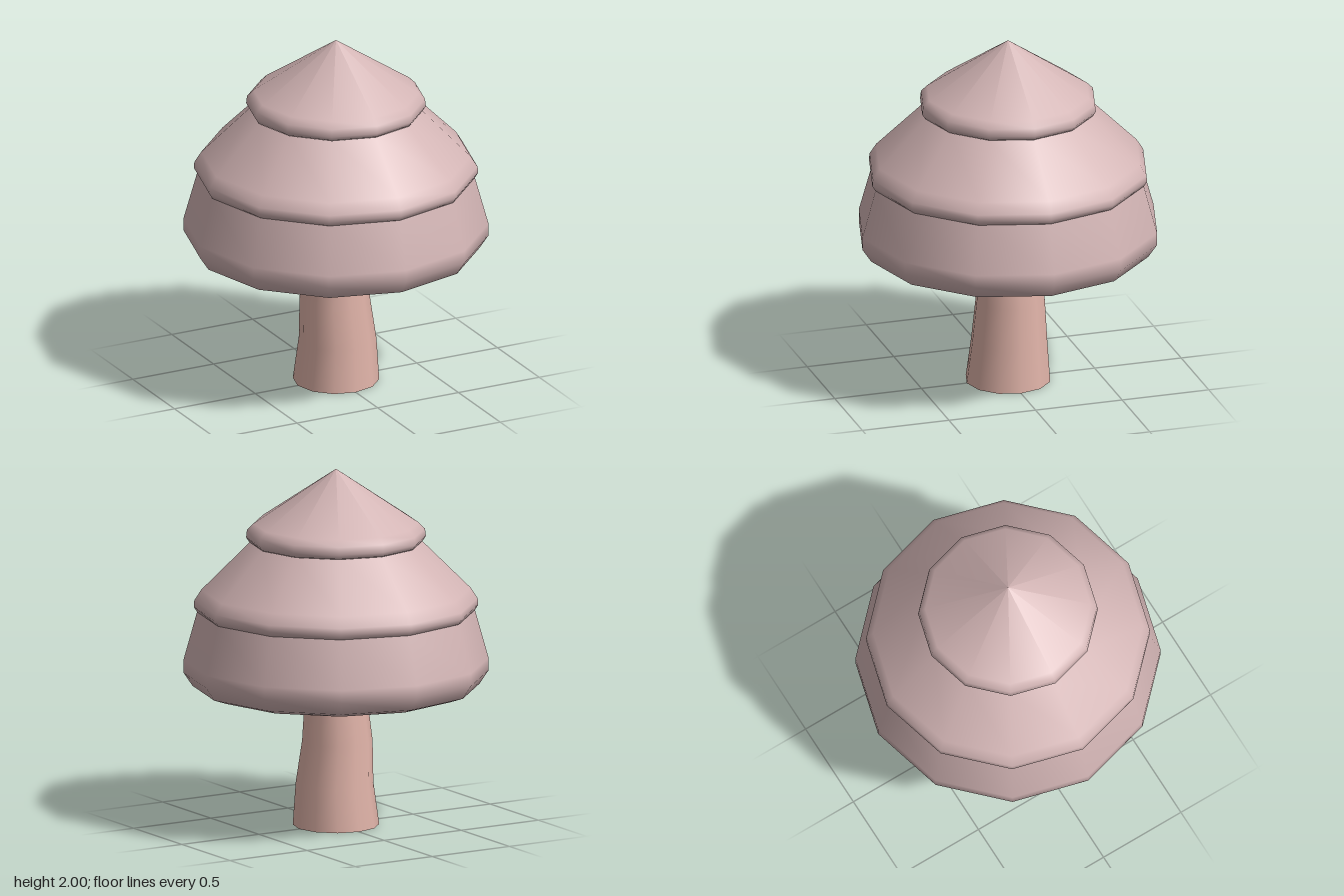
import * as THREE from 'three';

const SIDES = 12;

// Revolved tier from a bottom-to-top list of [radius, height]
function makeTier(name, points, material) {
  const profile = points.map(([r, y]) => new THREE.Vector2(r, y));
  const mesh = new THREE.Mesh(new THREE.LatheGeometry(profile, SIDES), material);
  mesh.name = name;
  return mesh;
}

// Tapering trunk whose rings lean slightly off the axis
function makeTrunk(material) {
  const height = 0.715;
  const rings = [
    { r: 0.238, x: 0, z: 0 },
    { r: 0.214, x: 0.012, z: -0.004 },
    { r: 0.194, x: 0, z: -0.014 },
    { r: 0.172, x: 0, z: 0 },
  ];
  const geometry = new THREE.CylinderGeometry(1, 1, height, SIDES, rings.length - 1);
  geometry.translate(0, height / 2, 0);
  const p = geometry.attributes.position;
  for (let i = 0; i < p.count; i++) {
    const ring = rings[Math.round((p.getY(i) / height) * (rings.length - 1))];
    p.setX(i, p.getX(i) * ring.r + ring.x);
    p.setZ(i, p.getZ(i) * ring.r + ring.z);
  }
  geometry.computeBoundingSphere();
  const mesh = new THREE.Mesh(geometry, material);
  mesh.name = 'trunk';
  return mesh;
}

export function createModel() {
  const group = new THREE.Group();
  group.name = 'tree';
  const leaf = new THREE.MeshStandardMaterial({ color: 0xd2b4b4, side: THREE.DoubleSide });
  const bark = new THREE.MeshStandardMaterial({ color: 0xe6b8ad });

  group.add(makeTrunk(bark));

  // Foliage: three stacked tiers with rounded lower rims
  group.add(makeTier('lowerFoliage', [
    [0, 0.757], [0.71, 0.757], [0.79, 0.785], [0.84, 0.86], [0.84, 0.93], [0.765, 1.2],
  ], leaf));
  group.add(makeTier('middleFoliage', [
    [0.7, 1.2], [0.765, 1.2], [0.783, 1.23], [0.78, 1.265], [0.742, 1.325], [0.475, 1.59],
  ], leaf));
  group.add(makeTier('topFoliage', [
    [0.42, 1.59], [0.478, 1.592], [0.495, 1.618], [0.49, 1.66], [0.455, 1.695], [0, 2],
  ], leaf));

  return group;
}
